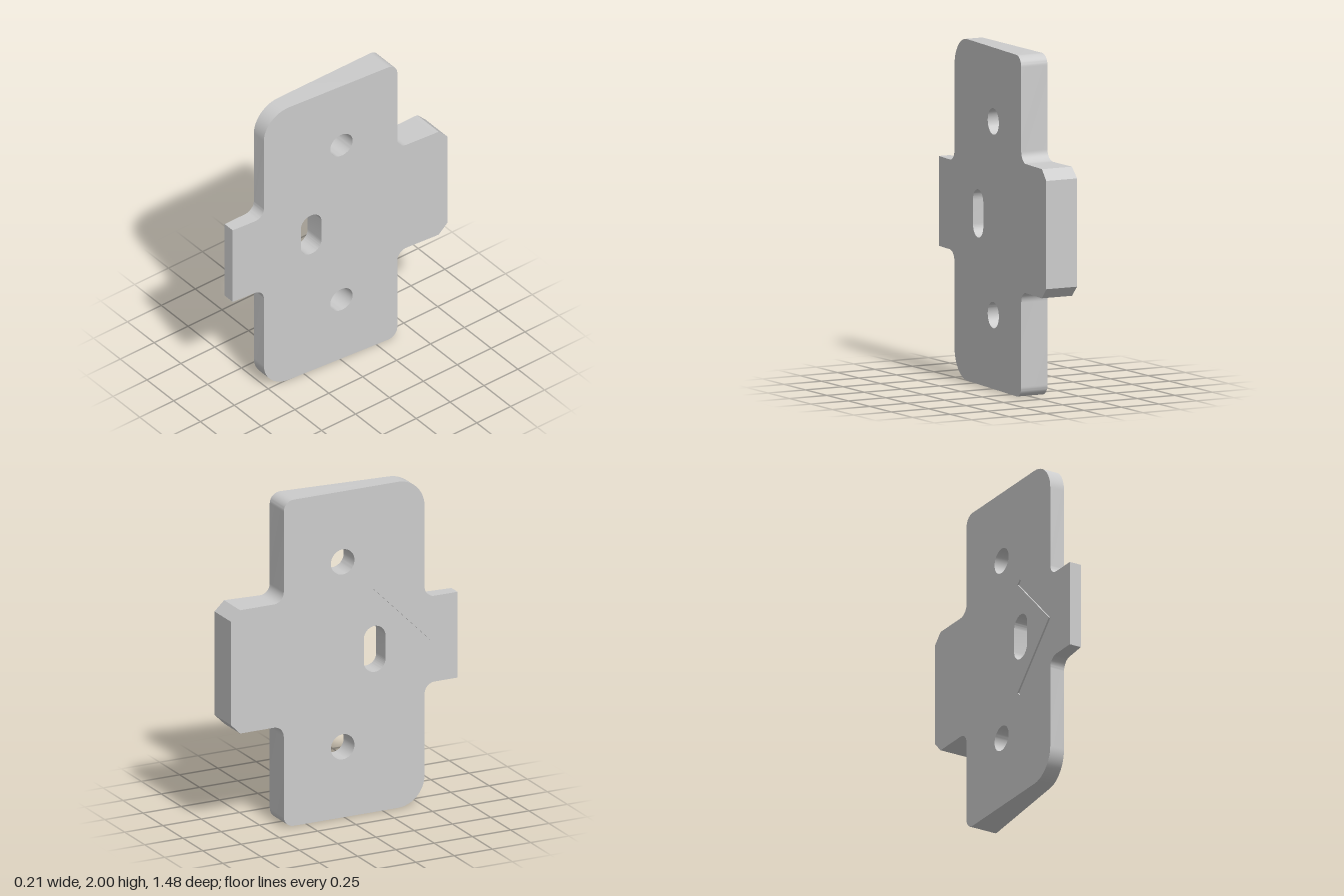
import * as THREE from 'three';
import { mergeGeometries, toCreasedNormals } from 'three/addons/utils/BufferGeometryUtils.js';

const BACK = -0.103;                             // flat face of the plate
const GROOVE = 0.01;                             // depth of the chevron groove
const slopeX = (z) => 0.0375 - 0.0884 * z;       // tapered face of the plate
const V = (x, y) => new THREE.Vector2(x, y);

// Closed outline from [u, y, radius] corners, rounding square corners with arcs
function roundedOutline(corners, steps = 12) {
  const pts = [];
  corners.forEach(([x, y, r], i) => {
    const p = V(x, y);
    if (!r) return pts.push(p);
    const n = corners.length;
    const prev = corners[(i + n - 1) % n], next = corners[(i + 1) % n];
    const dp = V(prev[0], prev[1]).sub(p).normalize();
    const dn = V(next[0], next[1]).sub(p).normalize();
    const c = p.clone().addScaledVector(dp, r).addScaledVector(dn, r);
    for (let k = 0; k <= steps; k++) {
      const t = (k / steps) * Math.PI / 2;
      pts.push(c.clone().addScaledVector(dn, -r * Math.cos(t)).addScaledVector(dp, -r * Math.sin(t)));
    }
  });
  return pts;
}

// Turn a profile drawn in (-z, y) so that its depth runs along +x
const stand = (geo, x) => geo.rotateY(Math.PI / 2).translate(x, 1, 0);

// Remove the triangles lying in the flat face; optionally turn the rest inside out
function openBack(geo, invert = false) {
  const pos = geo.attributes.position, out = [];
  for (let i = 0; i < pos.count; i += 3) {
    const tri = [i, i + 1, i + 2];
    if (tri.every((k) => Math.abs(pos.getX(k) - BACK) < 1e-5)) continue;
    if (invert) tri.reverse();
    tri.forEach((k) => out.push(pos.getX(k), pos.getY(k), pos.getZ(k)));
  }
  const res = new THREE.BufferGeometry();
  res.setAttribute('position', new THREE.Float32BufferAttribute(out, 3));
  return res;
}

export function createModel() {
  const group = new THREE.Group();
  const material = new THREE.MeshStandardMaterial({ color: 0xcccccc });

  // Plate outline: upper half, mirrored to the lower half
  const upper = [
    [0.74, 0.317, 0], [0.68, 0.378, 0], [0.395, 0.378, 0.065], [0.395, 1, 0.065],
    [-0.525, 1, 0.175], [-0.525, 0.263, 0.065], [-0.74, 0.263, 0],
  ];
  const lower = upper.map(([x, y, r]) => [x, -y, r]).reverse();
  const outline = roundedOutline([...upper, ...lower]);

  // Two round holes and one slot
  const holes = [0.567, -0.567].map((y) => new THREE.Path().absarc(0.01, y, 0.077, 0, Math.PI * 2, true));
  const slot = new THREE.Path();
  slot.absarc(-0.199, 0.07, 0.071, Math.PI, 0, true);
  slot.absarc(-0.199, -0.07, 0.071, 0, -Math.PI, true);
  slot.closePath();
  holes.push(slot);

  // Chevron groove outline
  const chevron = [
    V(-0.56, 0), V(-0.19, -0.37), V(-0.165, -0.345),
    V(-0.51, 0), V(-0.165, 0.345), V(-0.19, 0.37),
  ];

  // Body: extruded, then its far face is tapered
  const bodyShape = new THREE.Shape(outline);
  bodyShape.holes.push(...holes);
  const body = stand(new THREE.ExtrudeGeometry(bodyShape, { depth: 0.2, bevelEnabled: false, curveSegments: 24 }), BACK);
  const pos = body.attributes.position;
  for (let i = 0; i < pos.count; i++) {
    if (pos.getX(i) > BACK + 0.1) pos.setX(i, slopeX(pos.getZ(i)));
  }

  // Flat face with the chevron cut out, facing -x
  const faceShape = new THREE.Shape(outline);
  faceShape.holes.push(...holes, new THREE.Path(chevron));
  const face = stand(new THREE.ShapeGeometry(faceShape, 24), BACK).toNonIndexed();
  const fp = face.attributes.position, flipped = [];
  for (let i = fp.count - 1; i >= 0; i--) flipped.push(fp.getX(i), fp.getY(i), fp.getZ(i));
  const faceGeo = new THREE.BufferGeometry();
  faceGeo.setAttribute('position', new THREE.Float32BufferAttribute(flipped, 3));

  const plate = new THREE.Mesh(toCreasedNormals(mergeGeometries([openBack(body), faceGeo]), 0.6), material);
  plate.name = 'wedgePlate';
  group.add(plate);

  // Groove walls and floor
  const cut = stand(new THREE.ExtrudeGeometry(new THREE.Shape(chevron), { depth: GROOVE, bevelEnabled: false }), BACK);
  const groove = new THREE.Mesh(toCreasedNormals(openBack(cut, true), 0.6), material);
  groove.name = 'chevronGroove';
  group.add(groove);

  return group;
}
